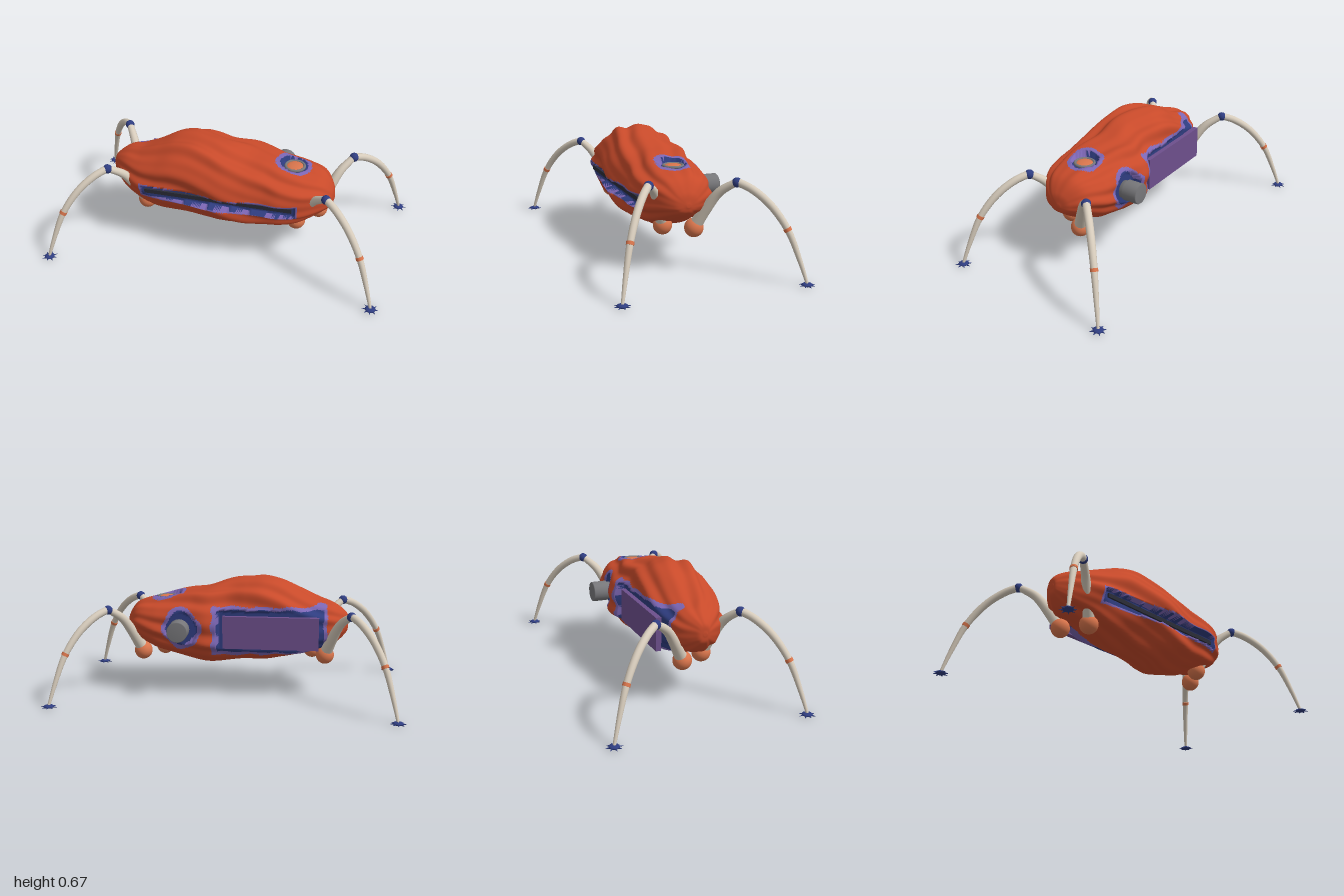
import * as THREE from 'three';

const mat = (name, color, side = THREE.FrontSide) => {
  const m = new THREE.MeshStandardMaterial({ color, side });
  m.name = name;
  return m;
};

export function createModel() {
  const M = {
    hull: mat('rust red', 0xc84a2a),
    trim: mat('lavender', 0x7c66b4),
    blue: mat('deep blue', 0x2f3d80),
    dark: mat('charcoal', 0x2b2d38),
    cream: mat('bone', 0xd6cbbb),
    orange: mat('terracotta', 0xd9754c),
    grey: mat('grey', 0x77777a),
    panel: mat('purple', 0x6d4f8c),
  };
  const group = new THREE.Group();
  const add = (name, geo, m, pos = [0, 0, 0], parent = group) => {
    const mesh = new THREE.Mesh(geo, m);
    mesh.name = name;
    mesh.position.set(...pos);
    parent.add(mesh);
    return mesh;
  };

  // Hull stations: x, top, bottom, back, front
  const stations = [
    [-0.682, 0.42, 0.4, 0.05, 0.07], [-0.67, 0.47, 0.355, 0.01, 0.1],
    [-0.6, 0.52, 0.29, -0.065, 0.175], [-0.5, 0.55, 0.25, -0.1, 0.24],
    [-0.4, 0.595, 0.22, -0.125, 0.265], [-0.3, 0.645, 0.205, -0.145, 0.275],
    [-0.2, 0.667, 0.195, -0.155, 0.282], [-0.1, 0.66, 0.19, -0.15, 0.292],
    [0, 0.64, 0.18, -0.145, 0.302], [0.12, 0.608, 0.18, -0.185, 0.295],
    [0.22, 0.592, 0.19, -0.165, 0.285], [0.32, 0.57, 0.215, -0.15, 0.288],
    [0.43, 0.545, 0.25, -0.135, 0.26], [0.53, 0.515, 0.3, -0.085, 0.2],
    [0.585, 0.45, 0.335, -0.01, 0.135], [0.6, 0.39, 0.37, 0.05, 0.07],
  ];
  const height = new THREE.CatmullRomCurve3(stations.map(s => new THREE.Vector3(s[0], s[1], s[2])), false, 'catmullrom');
  const width = new THREE.CatmullRomCurve3(stations.map(s => new THREE.Vector3(s[0], s[3], s[4])), false, 'catmullrom');

  // Signed distances to the recessed zones of the hull
  const rect = (a, b, ca, cb, ha, hb) => Math.max(Math.abs(a - ca) - ha, Math.abs(b - cb) - hb);
  const zones = {
    slot: p => (p.z > 0.1 ? rect(p.x, p.y, -0.03, 0.372, 0.44, 0.036) : 1),
    bay: p => (p.z < 0 ? rect(p.x, p.y, -0.24, 0.38, 0.3, 0.12) : 1),
    engine: p => (p.z < 0 ? Math.hypot(p.x - 0.26, p.y - 0.395) - 0.092 : 1),
    hatch: p => (p.y > 0.45 ? Math.hypot(p.x - 0.36, p.z - 0.055) - 0.072 : 1),
  };

  // Hull: lofted sections with twisting ridges and sunken zones
  const NX = 180, NT = 150;
  const pts = [], pos = [];
  for (let i = 0; i <= NX; i++) {
    const h = height.getPoint(i / NX), w = width.getPoint(i / NX);
    const cy = (h.y + h.z) / 2, cz = (w.y + w.z) / 2;
    const ry = (h.y - h.z) / 2, rz = (w.z - w.y) / 2, x = h.x;
    const fade = Math.min(1, ry / 0.15);
    for (let j = 0; j < NT; j++) {
      const a = (j / NT) * Math.PI * 2, c = Math.cos(a), s = Math.sin(a);
      const k = 1 + fade * (0.035 * Math.sin(9 * a + 9 * x) + 0.022 * Math.sin(14 * a + 13 * x + 1) + 0.015 * Math.sin(5 * a - 16 * x));
      const p = new THREE.Vector3(x,
        cy + ry * k * Math.sign(s) * Math.abs(s) ** 0.93,
        cz + rz * k * Math.sign(c) * Math.abs(c) ** 0.93);
      const z0 = p.clone();
      if (zones.slot(z0) < 0) p.z = Math.min(p.z, 0.242);
      if (zones.bay(z0) < 0) p.z = Math.max(p.z, -0.12);
      if (zones.engine(z0) < 0) p.z = Math.max(p.z, -0.135);
      if (zones.hatch(z0) < 0) p.y = Math.min(p.y, 0.538);
      pts.push(p);
      pos.push(p.x, p.y, p.z);
    }
  }
  const faces = [[], [], []];
  const face = (a, b, c) => {
    const m = pts[a].clone().add(pts[b]).add(pts[c]).divideScalar(3);
    const wob = 0.006 * Math.sin(40 * m.x) + 0.005 * Math.sin(55 * m.y + 30 * m.z);
    const d = Math.min(zones.slot(m), zones.bay(m) + wob, zones.engine(m) + wob, zones.hatch(m) + wob);
    const border = zones.slot(m) < 0.05 ? 0.012 : 0.024;
    faces[d < 0 ? 2 : d < border ? 1 : 0].push(a, b, c);
  };
  for (let i = 0; i < NX; i++) for (let j = 0; j < NT; j++) {
    const a = i * NT + j, d = i * NT + (j + 1) % NT;
    face(a, a + NT, d + NT);
    face(a, d + NT, d);
  }
  // End caps
  for (let j = 1; j < NT - 1; j++) {
    face(0, j, j + 1);
    face(NX * NT, NX * NT + j + 1, NX * NT + j);
  }
  const hullGeo = new THREE.BufferGeometry();
  hullGeo.setAttribute('position', new THREE.Float32BufferAttribute(pos, 3));
  hullGeo.setIndex(faces.flat());
  let start = 0;
  faces.forEach((f, i) => { hullGeo.addGroup(start, f.length, i); start += f.length; });
  hullGeo.computeVertexNormals();
  add('hull', hullGeo, [M.hull, M.trim, M.blue]);

  // Front viewing slot and rear bay panel
  add('viewingSlot', new THREE.BoxGeometry(0.84, 0.024, 0.03), M.dark, [-0.03, 0.375, 0.238]);
  add('rearPanel', new THREE.BoxGeometry(0.54, 0.185, 0.03), M.panel, [-0.245, 0.378, -0.131]);

  // Rear engine: stepped barrel
  const barrel = [[0, 0], [0.05, 0], [0.05, 0.05], [0.058, 0.052], [0.058, 0.135], [0.054, 0.14], [0, 0.14]];
  add('engine', new THREE.LatheGeometry(barrel.map(p => new THREE.Vector2(...p)), 32), M.grey, [0.268, 0.395, -0.107])
    .rotation.x = -Math.PI / 2;

  // Roof hatch
  add('hatchRing', new THREE.TorusGeometry(0.052, 0.008, 10, 32), M.grey, [0.368, 0.543, 0.052]).rotation.x = Math.PI / 2;
  add('hatchLid', new THREE.SphereGeometry(0.048, 28, 16).scale(1, 0.25, 1), M.orange, [0.368, 0.541, 0.052]);

  // Tube whose radius follows a rule
  const taper = (curve, radius, n = 28, sides = 16) => {
    const g = new THREE.TubeGeometry(curve, n, 1, sides), a = g.attributes.position, v = new THREE.Vector3();
    for (let i = 0; i <= n; i++) {
      const c = curve.getPointAt(i / n);
      for (let j = 0; j <= sides; j++) {
        const k = i * (sides + 1) + j;
        v.fromBufferAttribute(a, k).sub(c).multiplyScalar(radius(i / n)).add(c);
        a.setXYZ(k, v.x, v.y, v.z);
      }
    }
    return g;
  };

  // Legs: hip, knee and foot given as [x, z]
  const legs = [
    ['frontLeftLeg', [0.4, 0.125], [0.575, 0.268], [0.88, 0.515]],
    ['backLeftLeg', [0.505, -0.012], [0.668, -0.178], [0.95, -0.445]],
    ['frontRightLeg', [-0.477, 0.13], [-0.653, 0.268], [-0.955, 0.515]],
    ['backRightLeg', [-0.552, -0.012], [-0.69, -0.215], [-0.935, -0.522]],
  ];
  const bow = [[0, 0.503], [0.2, 0.475], [0.46, 0.405], [0.71, 0.285], [0.89, 0.13], [1, 0.015]];
  for (const [name, hip, knee, foot] of legs) {
    const leg = new THREE.Group();
    leg.name = name;
    group.add(leg);
    const at = (a, b, t, y) => new THREE.Vector3(a[0] + (b[0] - a[0]) * t, y, a[1] + (b[1] - a[1]) * t);
    const thigh = new THREE.CatmullRomCurve3([[0, 0.235], [0.28, 0.34], [0.6, 0.44], [1, 0.503]].map(([t, y]) => at(hip, knee, t, y)));
    const shin = new THREE.CatmullRomCurve3(bow.map(([t, y]) => at(knee, foot, t, y)));
    add('hipJoint', new THREE.SphereGeometry(0.052, 28, 18), M.orange, at(hip, knee, 0, 0.232).toArray(), leg);
    add('thigh', taper(thigh, t => 0.036 - 0.017 * t), M.cream, [0, 0, 0], leg);
    add('kneeJoint', new THREE.SphereGeometry(0.026, 24, 16), M.blue, at(knee, foot, 0, 0.5).toArray(), leg);
    add('shin', taper(shin, t => 0.021 + 0.004 * Math.sin(t * Math.PI) - 0.013 * t), M.cream, [0, 0, 0], leg);

    // Band around the shin
    const band = add('shinBand', new THREE.CylinderGeometry(0.0205, 0.0205, 0.018, 20), M.orange, at(knee, foot, 0.71, 0.285).toArray(), leg);
    band.quaternion.setFromUnitVectors(new THREE.Vector3(0, 1, 0), shin.getTangent(0.6));

    // Foot pad with claws
    add('footPad', new THREE.SphereGeometry(0.028, 20, 12).scale(1, 0.35, 1), M.blue, at(knee, foot, 1, 0.01).toArray(), leg);
    for (let i = 0; i < 8; i++) {
      const a = (i / 8) * Math.PI * 2;
      const claw = add('claw', new THREE.ConeGeometry(0.006, 0.028, 8), M.blue,
        [foot[0] + 0.032 * Math.cos(a), 0.007, foot[1] + 0.032 * Math.sin(a)], leg);
      claw.quaternion.setFromUnitVectors(new THREE.Vector3(0, 1, 0), new THREE.Vector3(Math.cos(a), -0.1, Math.sin(a)).normalize());
    }
  }
  return group;
}
